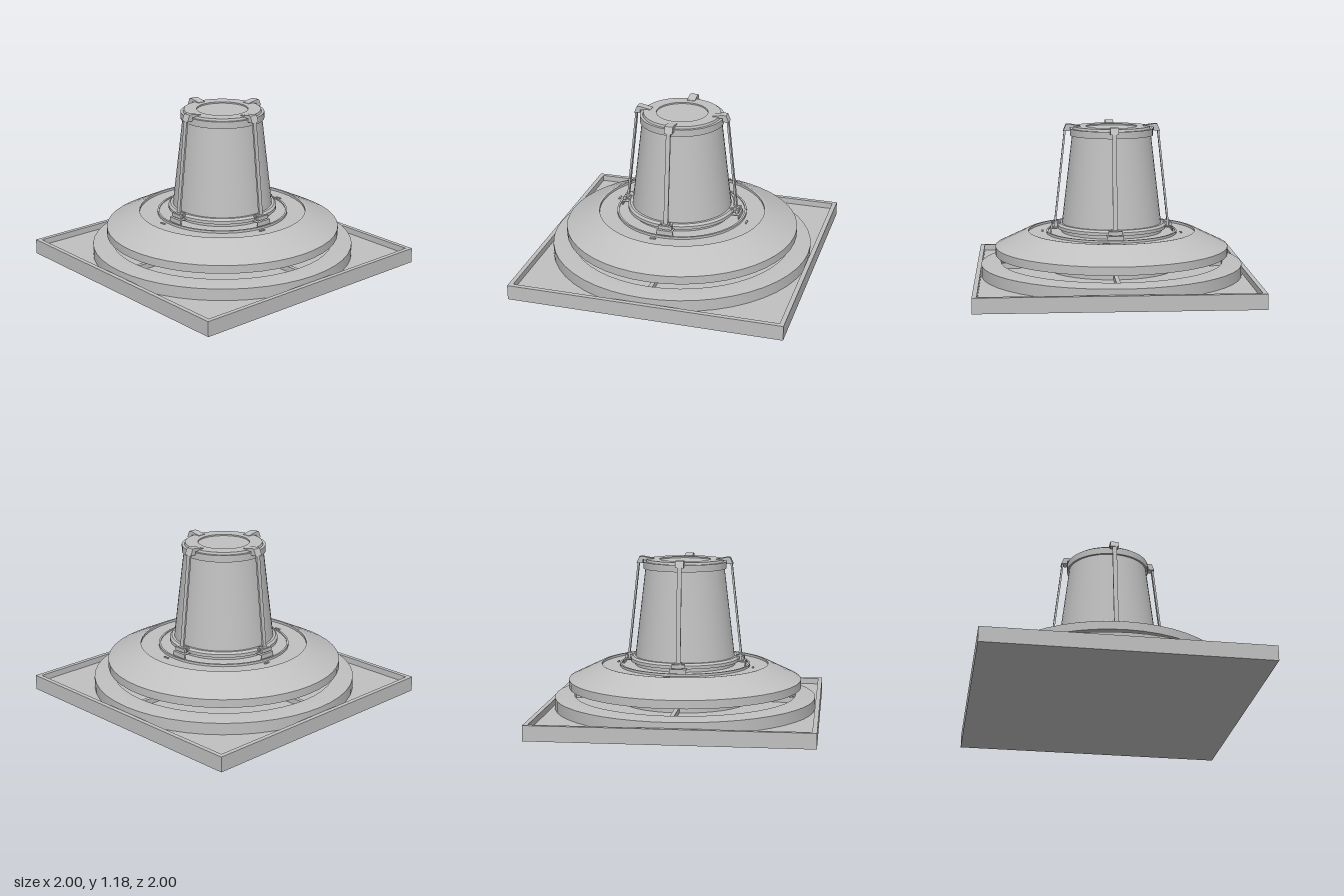
import * as THREE from 'three';
import { toCreasedNormals } from 'three/addons/utils/BufferGeometryUtils.js';

export function createModel() {
  const model = new THREE.Group();
  const grey = new THREE.MeshStandardMaterial({ color: 0xc0c0c0 });
  grey.name = 'plain grey';

  const add = (parent, name, geometry) => {
    const mesh = new THREE.Mesh(geometry, grey);
    mesh.name = name;
    parent.add(mesh);
    return mesh;
  };
  const box = (parent, name, w, h, d, x, y, z) => {
    const mesh = add(parent, name, new THREE.BoxGeometry(w, h, d));
    mesh.position.set(x, y, z);
    return mesh;
  };
  // Turned part: profile of [radius, height] from the bottom, round the outside, to the top
  const turned = (name, profile, sides = 48) => {
    const points = profile.map(([r, y]) => new THREE.Vector2(r, y));
    return add(model, name, toCreasedNormals(new THREE.LatheGeometry(points, sides), 0.4));
  };
  // Side outline in (radius, height), given a width across
  const plate = (parent, name, outline, width) => {
    const shape = new THREE.Shape(outline.map(([r, y]) => new THREE.Vector2(r, y)));
    const geometry = new THREE.ExtrudeGeometry(shape, { depth: width, bevelEnabled: false });
    geometry.translate(0, 0, -width / 2);
    return add(parent, name, geometry);
  };

  // Square tray with a raised rim
  box(model, 'trayFloor', 2, 0.065, 2, 0, 0.0325, 0);
  const rim = new THREE.Shape([[-1, -1], [1, -1], [1, 1], [-1, 1]].map(p => new THREE.Vector2(...p)));
  const opening = [[-0.967, -0.967], [-0.967, 0.967], [0.967, 0.967], [0.967, -0.967]];
  rim.holes.push(new THREE.Path(opening.map(p => new THREE.Vector2(...p))));
  const rimGeometry = new THREE.ExtrudeGeometry(rim, { depth: 0.045, bevelEnabled: false });
  rimGeometry.rotateX(-Math.PI / 2).translate(0, 0.065, 0);
  add(model, 'trayRim', rimGeometry);

  // Round base with a recess under the skirt
  turned('baseRing', [[0.965, 0.06], [0.965, 0.15], [0.86, 0.163], [0.82, 0.163], [0.82, 0.11], [0, 0.11]]);
  turned('neck', [[0.475, 0.1], [0.475, 0.24]]);

  // Sloping skirt with a shallow recess in its top
  turned('skirt', [[0, 0.22], [0.86, 0.22], [0.86, 0.28], [0.63, 0.392], [0.615, 0.392],
    [0.615, 0.375], [0.482, 0.375], [0.482, 0.392], [0.468, 0.392], [0.468, 0.385], [0, 0.385]]);

  // Tapered drum with foot flange and cap
  turned('drumFoot', [[0.37, 0.38], [0.37, 0.412], [0.4, 0.412], [0.4, 0.435], [0.385, 0.45], [0.36, 0.45]]);
  turned('drum', [[0.368, 0.44], [0.29, 1.1]]);
  turned('cap', [[0.28, 1.095], [0.305, 1.095], [0.305, 1.145], [0.285, 1.145], [0.28, 1.162],
    [0.187, 1.162], [0.187, 1.152], [0, 1.152]]);

  for (let i = 0; i < 4; i++) {
    const quarter = new THREE.Group();
    quarter.name = 'tieRodAssembly';
    quarter.rotation.y = i * Math.PI / 2;
    model.add(quarter);

    // Leaning tie rod and the hook that grips the cap
    plate(quarter, 'tieRod', [[0.412, 0.44], [0.426, 0.44], [0.349, 1.14], [0.335, 1.14]], 0.032);
    plate(quarter, 'hook', [[0.308, 1.13], [0.355, 1.13], [0.335, 1.178], [0.31, 1.18],
      [0.23, 1.165], [0.23, 1.155], [0.308, 1.155]], 0.06);

    // Lower clamp with its cross bars
    plate(quarter, 'clamp', [[0.37, 0.42], [0.435, 0.42], [0.435, 0.455], [0.405, 0.465], [0.37, 0.45]], 0.05);
    box(quarter, 'clampBar', 0.02, 0.026, 0.1, 0.432, 0.438, 0);
    box(quarter, 'clampBar', 0.02, 0.026, 0.085, 0.395, 0.438, 0);

    // Foot bracket
    box(quarter, 'footPlate', 0.08, 0.007, 0.12, 0.411, 0.415, 0);
    box(quarter, 'footLeg', 0.007, 0.035, 0.12, 0.448, 0.4, 0);

    // Rib in the base recess and a small tab on the skirt
    box(quarter, 'baseRib', 0.36, 0.04, 0.03, 0.645, 0.13, 0);
    box(quarter, 'skirtTab', 0.012, 0.008, 0.045, 0.51, 0.378, 0.07);
  }
  return model;
}
